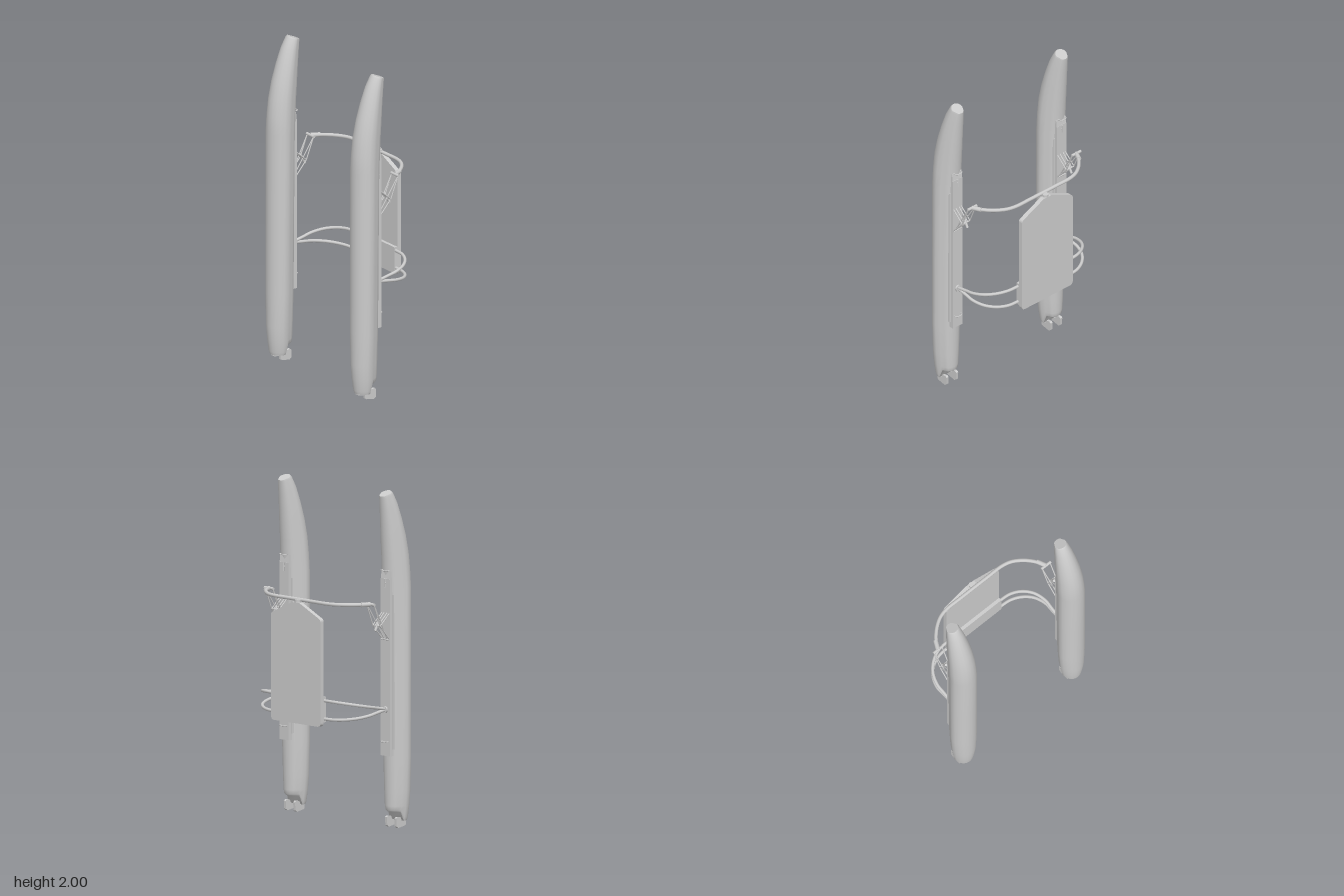
import * as THREE from 'three';

const grey = new THREE.MeshStandardMaterial({ color: 0xcccccc, side: THREE.DoubleSide });
const V = (x, y, z) => new THREE.Vector3(x, y, z);

function add(parent, name, geometry) {
  const m = new THREE.Mesh(geometry, grey);
  m.name = name;
  parent.add(m);
  return m;
}

function box(parent, name, w, h, d, x, y, z) {
  const m = add(parent, name, new THREE.BoxGeometry(w, h, d));
  m.position.set(x, y, z);
  return m;
}

// straight round bar between two points
function rod(parent, name, a, b, r) {
  const m = add(parent, name, new THREE.CylinderGeometry(r, r, a.distanceTo(b), 10));
  m.position.copy(a).lerp(b, 0.5);
  m.quaternion.setFromUnitVectors(V(0, 1, 0), b.clone().sub(a).normalize());
  return m;
}

function tube(parent, name, points, r, segments = 48) {
  return add(parent, name, new THREE.TubeGeometry(new THREE.CatmullRomCurve3(points, false, 'centripetal'), segments, r, 10));
}

// hull lofted from teardrop sections, stepped at the stern and tilted at the bow
function hullGeometry() {
  const N = 20;
  // y, centre z, half width, half depth, tilt, rear step
  const rings = [
    [0.04, 0.172, 0.056, 0.062, 0, 0.055],
    [0.06, 0.17, 0.062, 0.07, 0, 0.045],
    [0.13, 0.173, 0.07, 0.075, 0, 0],
    [0.22, 0.175, 0.076, 0.079, 0, 0],
    [0.42, 0.174, 0.084, 0.081, 0, 0],
    [0.9, 0.172, 0.085, 0.083, 0, 0],
    [1.42, 0.169, 0.085, 0.086, 0, 0],
    [1.52, 0.163, 0.083, 0.086, 0.05, 0],
    [1.62, 0.155, 0.079, 0.083, 0.1, 0],
    [1.72, 0.14, 0.073, 0.076, 0.2, 0],
    [1.82, 0.121, 0.064, 0.064, 0.3, 0],
    [1.91, 0.1, 0.053, 0.052, 0.4, 0],
    [1.975, 0.08, 0.042, 0.04, 0.4, 0],
    [1.985, 0.075, 0.037, 0.036, 0.4, 0],
  ];
  const pos = [], idx = [];
  const addRing = ([y, zc, rx, rz, tilt, step]) => {
    for (let i = 0; i < N; i++) {
      const t = (i / N) * Math.PI * 2, c = Math.cos(t), s = Math.sin(t);
      const taper = 1 - 0.5 * Math.max(0, -c);
      const w = Math.sign(s) * Math.min(Math.abs(s), taper);
      pos.push(rx * w, y + tilt * rz * c + (c < -0.1 ? step : 0), zc + rz * c);
    }
  };
  rings.forEach(addRing);
  for (let j = 0; j < rings.length - 1; j++) {
    for (let i = 0; i < N; i++) {
      const a = j * N + i, b = j * N + (i + 1) % N;
      idx.push(a, b, b + N, a, b + N, a + N);
    }
  }
  // end caps as strips between mirrored points
  [[rings[0], false], [rings[rings.length - 1], true]].forEach(([ring, top]) => {
    const o = pos.length / 3;
    addRing(ring);
    for (let i = 0; i < N / 2; i++) {
      const a = o + i, b = o + i + 1, c = o + N - i - 1, d = o + (N - i) % N;
      if (top) idx.push(a, b, c, a, c, d);
      else idx.push(a, c, b, a, d, c);
    }
  });
  const g = new THREE.BufferGeometry();
  g.setAttribute('position', new THREE.Float32BufferAttribute(pos, 3));
  g.setIndex(idx);
  g.computeVertexNormals();
  return g;
}

// small hooked plate under the stern, drawn as (-z, y)
function rudderBracketGeometry() {
  const s = new THREE.Shape();
  [[-0.2, 0.07], [-0.2, 0.015], [-0.19, 0.009], [-0.135, 0], [-0.122, 0.01], [-0.119, 0.058], [-0.13, 0.066],
    [-0.155, 0.062], [-0.165, 0.04], [-0.175, 0.04], [-0.175, 0.09]]
    .forEach(([u, y], i) => (i ? s.lineTo(u, y) : s.moveTo(u, y)));
  const g = new THREE.ExtrudeGeometry(s, { depth: 0.016, bevelEnabled: false });
  g.translate(0, 0, -0.008);
  return g.rotateY(Math.PI / 2);
}

// flat panel with rounded lower corners and a pointed top
function panelGeometry() {
  const s = new THREE.Shape();
  s.moveTo(-0.175, 0.615);
  s.lineTo(0.175, 0.615);
  s.quadraticCurveTo(0.2, 0.615, 0.2, 0.64);
  s.lineTo(0.2, 1.235);
  s.quadraticCurveTo(0.2, 1.25, 0.185, 1.257);
  s.lineTo(0.03, 1.33);
  s.lineTo(-0.03, 1.33);
  s.lineTo(-0.185, 1.257);
  s.quadraticCurveTo(-0.2, 1.25, -0.2, 1.235);
  s.lineTo(-0.2, 0.64);
  s.quadraticCurveTo(-0.2, 0.615, -0.175, 0.615);
  const g = new THREE.ExtrudeGeometry(s, { depth: 0.027, bevelEnabled: false, curveSegments: 6 });
  return g.translate(0, 0, -0.255);
}

// one float with deck, fittings and suspension, centred on x = 0
function createFloat(name) {
  const f = new THREE.Group();
  f.name = name;
  add(f, 'hull', hullGeometry());
  box(f, 'deckBase', 0.095, 0.92, 0.03, 0, 0.93, 0.107);
  box(f, 'deckPlate', 0.075, 1.05, 0.03, 0, 0.955, 0.089);
  const tip = box(f, 'deckTip', 0.075, 0.05, 0.022, 0, 1.5, 0.089);
  tip.rotation.x = 0.12;

  for (const s of [-1, 1]) {
    add(f, 'rudderBracket', rudderBracketGeometry()).position.x = s * 0.038;
  }

  // bow-shaped handles and a cleat
  for (const y of [0.515, 1.53]) {
    tube(f, 'handle', [V(-0.025, y, 0.08), V(-0.02, y, 0.058), V(0.02, y, 0.058), V(0.025, y, 0.08)], 0.003, 16);
  }
  rod(f, 'cleatStem', V(0, 1.455, 0.09), V(0, 1.455, 0.07), 0.007);
  rod(f, 'cleatBar', V(0, 1.43, 0.07), V(0, 1.48, 0.07), 0.004);

  // linkage holding the front beam
  rod(f, 'beamAxle', V(-0.035, 1.343, -0.053), V(0.035, 1.343, -0.053), 0.009);
  rod(f, 'middleAxle', V(-0.032, 1.21, 0), V(0.032, 1.21, 0), 0.004);
  for (const s of [-1, 1]) {
    const x = s * 0.03, axle = V(x, 1.343, -0.053), mid = V(x, 1.21, 0);
    rod(f, 'upperLink', axle, mid, 0.0035);
    rod(f, 'deckLink', mid, V(x, 1.28, 0.08), 0.0035);
    rod(f, 'lowerLink', mid, V(x, 1.12, 0.08), 0.0035);
    rod(f, 'diagonalLink', axle, V(s * 0.012, 1.12, 0.08), 0.0035);
    rod(f, 'innerLink', V(s * 0.012, 1.21, 0), V(s * 0.012, 1.28, 0.08), 0.004);
  }
  rod(f, 'damper', V(0, 1.24, 0.022), V(0, 1.18, -0.012), 0.008);
  rod(f, 'footBar', V(-0.032, 1.12, 0.074), V(0.032, 1.12, 0.074), 0.004);
  return f;
}

export function createModel() {
  const model = new THREE.Group();
  model.name = 'catamaran';

  for (const s of [-1, 1]) {
    const float = createFloat(s > 0 ? 'leftFloat' : 'rightFloat');
    float.position.x = s * 0.41;
    model.add(float);

    // joint at the end of the front beam
    rod(model, 'beamSocket', V(s * 0.41, 1.343, -0.053), V(s * 0.385, 1.343, -0.105), 0.014);

    // paired rear arms spreading from the deck to the platform
    for (const endY of [0.768, 0.66]) {
      const path = [[0.41, 0.085], [0.41, 0.0], [0.41, -0.06], [0.385, -0.13], [0.335, -0.182], [0.27, -0.212], [0.19, -0.219]];
      const points = path.map(([x, z]) => V(s * x, 0.705 + (endY - 0.705) * (0.085 - z) / 0.304, z));
      tube(model, 'rearArm', points, 0.0095);
    }
    const foot = add(model, 'armFoot', new THREE.CylinderGeometry(0.02, 0.02, 0.012, 16));
    foot.rotation.x = Math.PI / 2;
    foot.position.set(s * 0.41, 0.705, 0.07);
  }

  // front beam, bent back at both ends
  const half = [[0.4, -0.075], [0.37, -0.12], [0.325, -0.165], [0.27, -0.2], [0.21, -0.215], [0.1, -0.216]];
  const beam = [
    ...half.map(([x, z]) => V(-x, 1.343, z)),
    ...half.slice().reverse().map(([x, z]) => V(x, 1.343, z)),
  ];
  tube(model, 'frontBeam', beam, 0.011, 96);

  // platform with its tip lug and lower pocket
  add(model, 'platform', panelGeometry());
  box(model, 'platformPocket', 0.4, 0.15, 0.022, 0, 0.715, -0.219);
  const lug = add(model, 'platformLug', new THREE.CylinderGeometry(0.018, 0.018, 0.02, 16));
  lug.position.set(0, 1.335, -0.237);
  return model;
}
